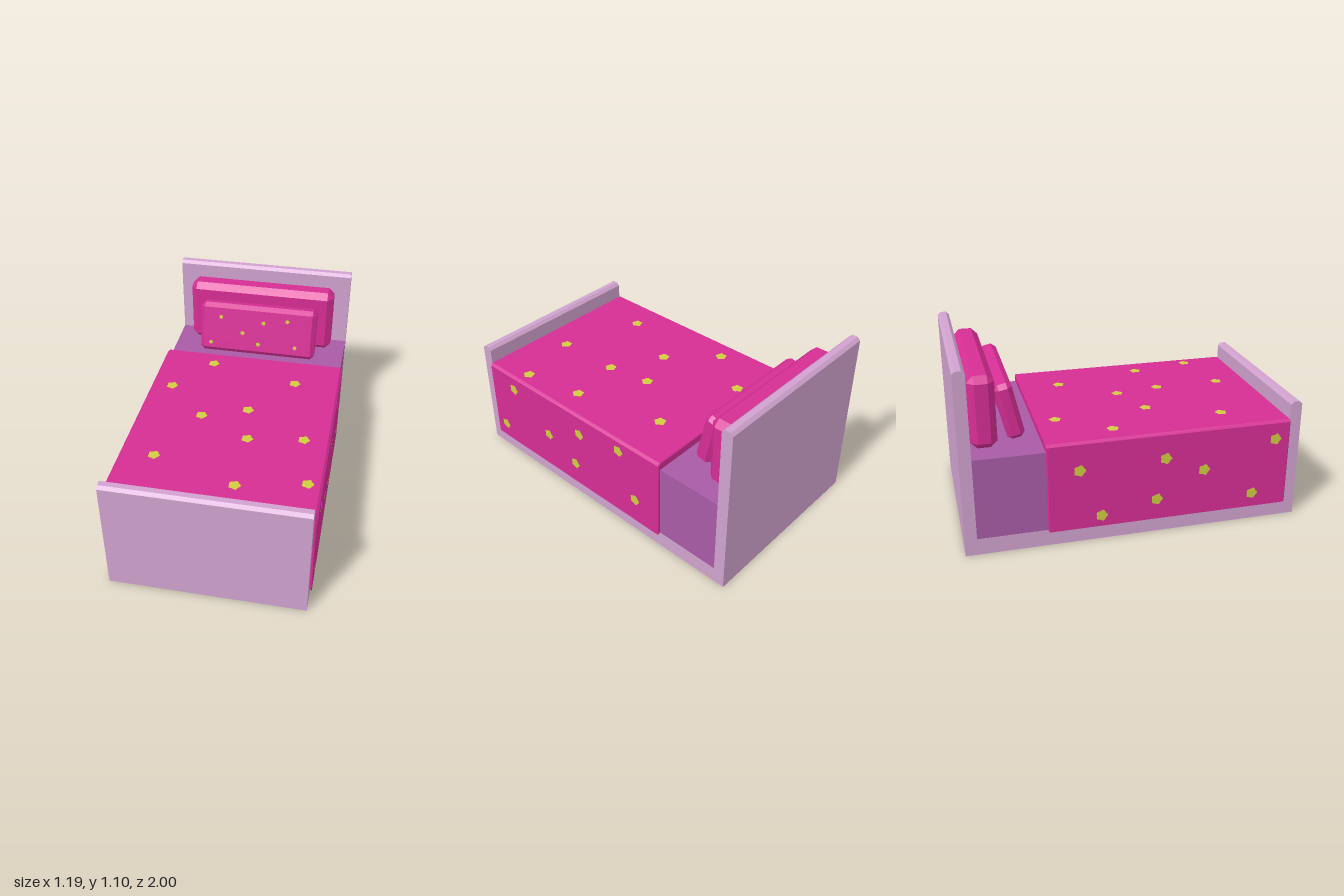
import * as THREE from 'three';
import { ConvexGeometry } from 'three/addons/geometries/ConvexGeometry.js';

const material = (name, color, side = THREE.FrontSide) => {
  const m = new THREE.MeshStandardMaterial({ color, side });
  m.name = name;
  return m;
};

const shapeFrom = (points) => new THREE.Shape(points.map(([x, y]) => new THREE.Vector2(x, y)));

// Box with every edge and corner cut off by c
function chamferedBox(w, h, d, c) {
  const points = [];
  const x = w / 2, y = h / 2, z = d / 2;
  for (const sx of [-1, 1]) for (const sy of [-1, 1]) for (const sz of [-1, 1]) {
    points.push(
      new THREE.Vector3(sx * x, sy * (y - c), sz * (z - c)),
      new THREE.Vector3(sx * (x - c), sy * y, sz * (z - c)),
      new THREE.Vector3(sx * (x - c), sy * (y - c), sz * z));
  }
  return new ConvexGeometry(points);
}

// Flat spot with five rounded lobes
function spotGeometry(radius) {
  const points = [];
  for (let i = 0; i < 20; i++) {
    const a = (i / 20) * Math.PI * 2;
    const r = radius * (0.89 + 0.11 * Math.cos(5 * a));
    points.push([r * Math.cos(a), r * Math.sin(a)]);
  }
  return new THREE.ShapeGeometry(shapeFrom(points));
}

export function createModel() {
  const model = new THREE.Group();
  model.name = 'bed';
  const frameMat = material('lilac frame', 0xd0a2ce);
  const mattressMat = material('purple mattress', 0xa85ba6);
  const beddingMat = material('pink bedding', 0xd62e94);
  const spotMat = material('yellow spots', 0xd0cc40);

  const add = (parent, name, geometry, mat, x = 0, y = 0, z = 0) => {
    const mesh = new THREE.Mesh(geometry, mat);
    mesh.name = name;
    mesh.position.set(x, y, z);
    parent.add(mesh);
    return mesh;
  };

  // Frame: headboard, base and footboard in one side profile (first value is -z)
  const c = 0.018;
  const profile = shapeFrom([
    [-1, 0], [1, 0], [1, 1.1 - c], [1 - c, 1.1], [0.93 + c, 1.1], [0.93, 1.1 - c],
    [0.93, 0.1], [-0.93, 0.1], [-0.93, 0.74 - c], [-0.93 - c, 0.74], [-1 + c, 0.74], [-1, 0.74 - c],
  ]);
  const frame = new THREE.ExtrudeGeometry(profile, { depth: 1.16, bevelEnabled: false });
  frame.translate(0, 0, -0.58).rotateY(Math.PI / 2);
  add(model, 'frame', frame, frameMat);

  // Mattress
  add(model, 'mattress', new THREE.BoxGeometry(1.158, 0.49, 1.86), mattressMat, 0, 0.342, 0);

  // Blanket: draped over the top and both sides
  const drape = shapeFrom([
    [0.575, 0.1], [0.595, 0.09], [0.595, 0.62], [0.58, 0.635], [-0.58, 0.635], [-0.595, 0.62],
    [-0.595, 0.09], [-0.575, 0.1], [-0.575, 0.58], [0.575, 0.58],
  ]);
  const blanket = new THREE.ExtrudeGeometry(drape, {
    depth: 1.445, bevelThickness: 0.005, bevelSize: 0.005, bevelOffset: -0.005, bevelSegments: 1,
  });
  add(model, 'blanket', blanket, beddingMat, 0, 0, -0.52);

  // Blanket spots
  const bigSpot = spotGeometry(0.037);
  const topSpots = [
    [-0.25, -0.41], [0.31, -0.28], [-0.46, -0.115], [0.065, 0.05], [-0.205, 0.155],
    [0.44, 0.275], [0.11, 0.325], [-0.39, 0.57], [0.51, 0.65], [0.115, 0.735],
  ];
  topSpots.forEach(([x, z]) => {
    add(model, 'blanketTopSpot', bigSpot, spotMat, x, 0.637, z).rotation.x = -Math.PI / 2;
  });
  const sideSpots = [
    [0.71, 0.535], [0.115, 0.495], [-0.215, 0.555], [0.4, 0.34],
    [0.165, 0.24], [-0.34, 0.255], [0.84, 0.195],
  ];
  // The far side carries the same pattern upside down
  for (const s of [-1, 1]) sideSpots.forEach(([z, y]) => {
    const spot = add(model, 'blanketSideSpot', bigSpot, spotMat, s * 0.597, s > 0 ? y : 0.715 - y, z);
    spot.rotation.y = s * Math.PI / 2;
  });

  // Pillows, each with spots on its front face
  const smallSpot = spotGeometry(0.015);
  const addPillow = (name, [w, h, d, cut], [x, y, z], tilt, spots) => {
    const group = new THREE.Group();
    group.name = name;
    group.position.set(x, y, z);
    group.rotation.x = tilt;
    add(group, name + 'Body', chamferedBox(w, h, d, cut), beddingMat);
    spots.forEach(([sx, sy]) => add(group, name + 'Spot', smallSpot, spotMat, sx, sy, d / 2 + 0.002));
    model.add(group);
  };
  addPillow('largePillow', [0.965, 0.425, 0.15, 0.038], [0, 0.807, -0.845], 0, [[0.24, 0.09]]);
  addPillow('smallPillow', [0.78, 0.338, 0.104, 0.027], [0, 0.764, -0.687], -0.22, [
    [-0.25, 0.08], [0.04, 0.062], [0.2, 0.088], [-0.1, -0.02],
    [-0.315, -0.105], [0.01, -0.09], [0.26, -0.09],
  ]);

  return model;
}
